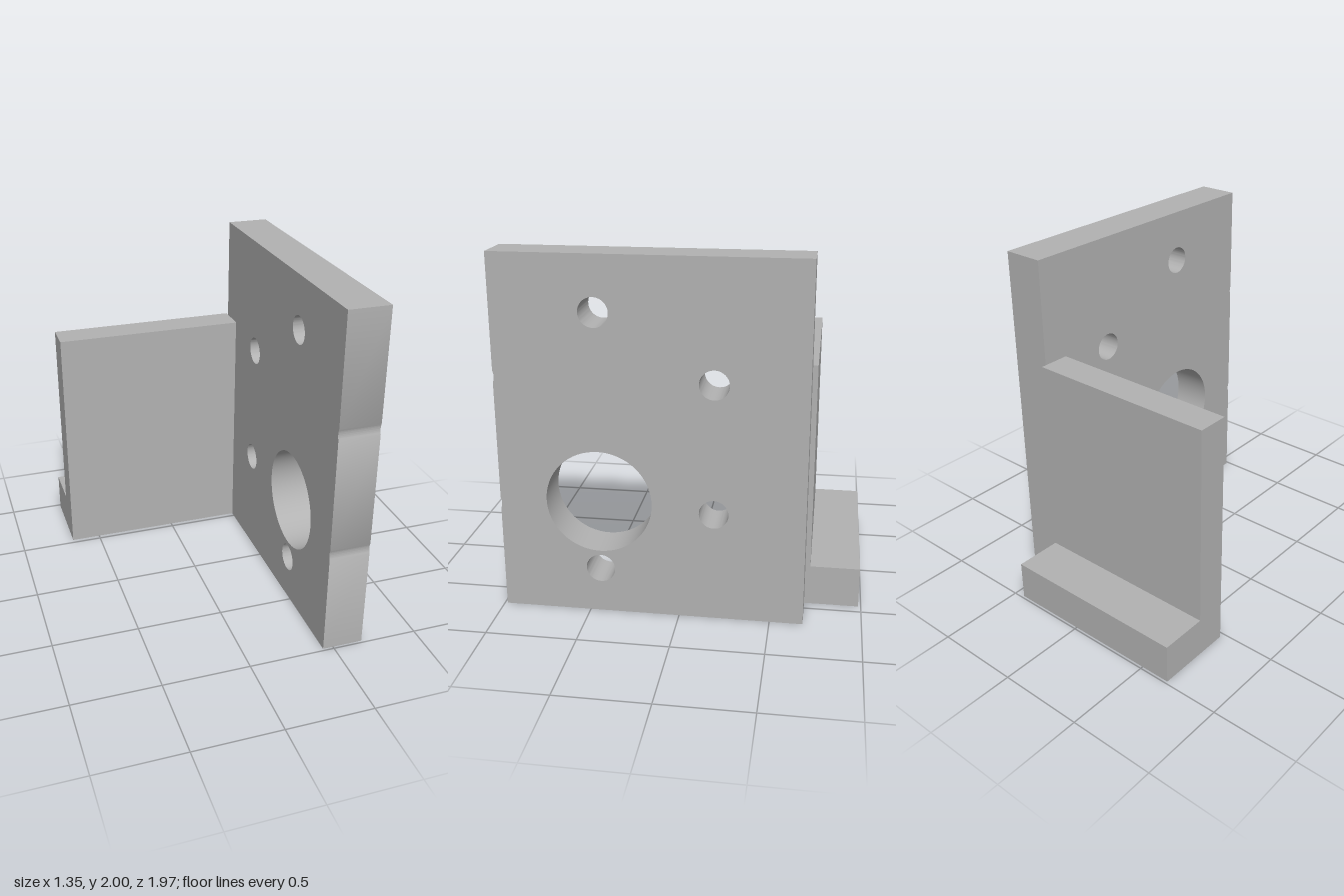
import * as THREE from 'three';
import { toCreasedNormals } from 'three/addons/utils/BufferGeometryUtils.js';

const HALF_X = 0.675, JOINT_X = 0.44, HALF_Z = 0.985;
const HOLE_R = 0.08;

// Extrudes a side profile drawn in (z, y) between two x positions
function extrudeAlongX(shape, x0, x1, material, name) {
  let geo = new THREE.ExtrudeGeometry(shape, { depth: x1 - x0, bevelEnabled: false, curveSegments: 32 });
  geo.rotateY(-Math.PI / 2);
  geo.translate(x1, 0, 0);
  geo = toCreasedNormals(geo, Math.PI / 6);
  const mesh = new THREE.Mesh(geo, material);
  mesh.name = name;
  return mesh;
}

export function createModel() {
  const group = new THREE.Group();
  group.name = 'mountingBracket';
  const grey = new THREE.MeshStandardMaterial({ color: 0xb2b2b2 });
  grey.name = 'plain grey';

  // Tall side plate, with two shallow bolt-circle notches in its front edge
  const plate = new THREE.Shape();
  plate.moveTo(-0.682, 0);
  plate.lineTo(HALF_Z, 0);
  const notchZ = 1.0585;
  const a = Math.acos((notchZ - HALF_Z) / HOLE_R);
  for (const y of [0.62, 1.34]) {
    plate.lineTo(HALF_Z, y - HOLE_R * Math.sin(a));
    plate.absarc(notchZ, y, HOLE_R, Math.PI + a, Math.PI - a, true);
  }
  plate.lineTo(HALF_Z, 2);
  plate.lineTo(-0.682, 2);
  plate.closePath();

  // Shaft hole and bolt holes: z, y, radius
  const holes = [
    [0.435, 0.655, 0.29],
    [0.435, 1.70, HOLE_R],
    [0.435, 0.26, HOLE_R],
    [-0.19, 1.34, HOLE_R],
    [-0.19, 0.62, HOLE_R],
  ];
  for (const [z, y, r] of holes) {
    plate.holes.push(new THREE.Path().absarc(z, y, r, 0, Math.PI * 2, true));
  }
  group.add(extrudeAlongX(plate, JOINT_X, HALF_X, grey, 'sidePlate'));

  // L-shaped rear bracket: upright wall with a foot behind it
  const bracket = new THREE.Shape([
    [-HALF_Z, 0], [-0.53, 0], [-0.53, 1.4], [-0.71, 1.4], [-0.71, 0.232], [-HALF_Z, 0.232],
  ].map(([z, y]) => new THREE.Vector2(z, y)));
  group.add(extrudeAlongX(bracket, -HALF_X, JOINT_X, grey, 'rearBracket'));

  return group;
}
